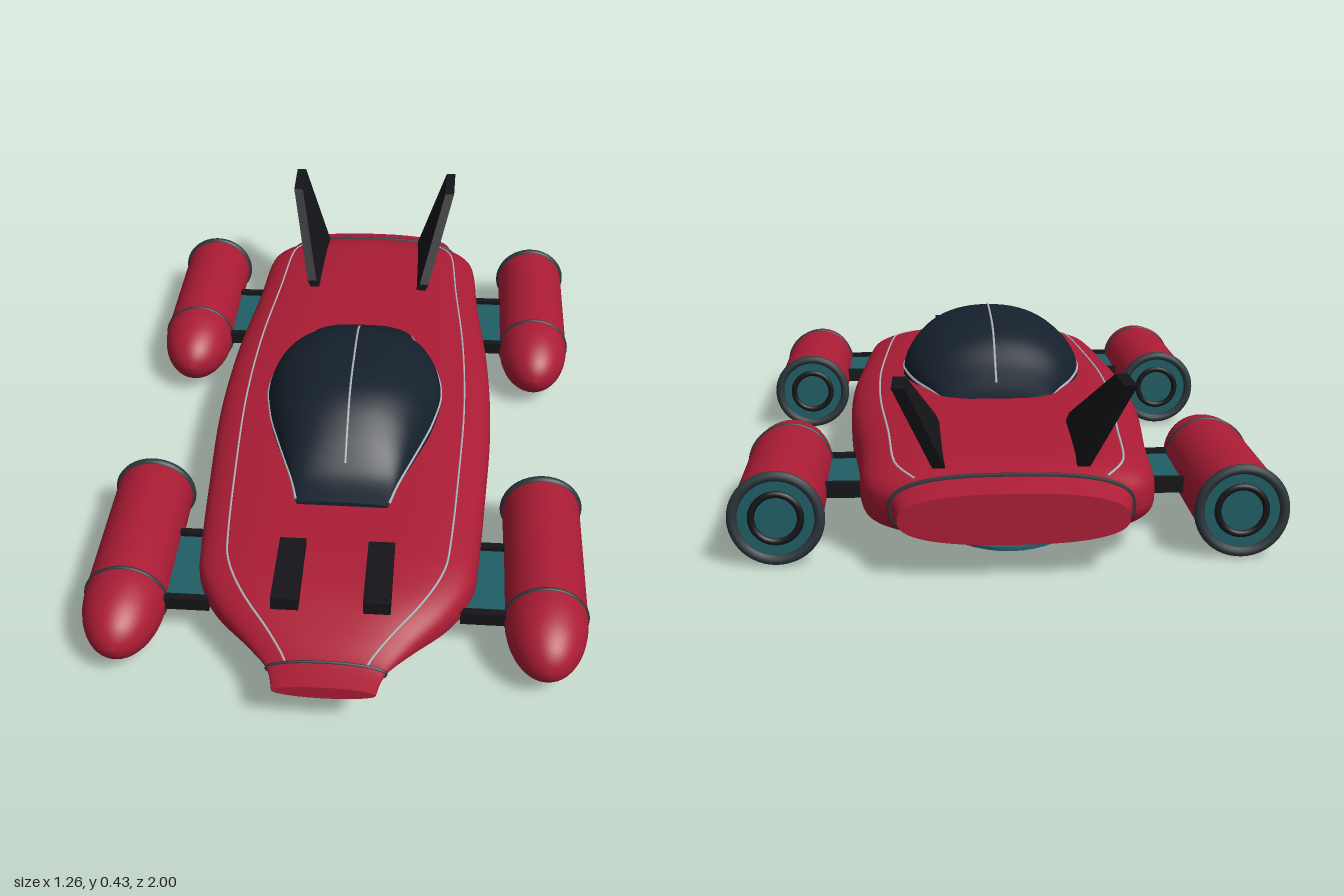
import * as THREE from 'three';

const mat = (color, side = THREE.FrontSide) =>
  new THREE.MeshStandardMaterial({ color, side, roughness: 0.6 });
const RED = mat(0xab1c35), TEAL = mat(0x1f5f66), GLASS = mat(0x16212d);
const BLACK = mat(0x151519), GREY = mat(0x2c373c), SILVER = mat(0xb4b8bc);

function add(parent, name, geometry, material, x = 0, y = 0, z = 0) {
  const mesh = new THREE.Mesh(geometry, material);
  mesh.name = name;
  mesh.position.set(x, y, z);
  parent.add(mesh);
  return mesh;
}

// Stations run front to back: [z, half width, bottom y, top y, squareness]
const HULL = [
  [1.0, 0.12, 0.126, 0.162, 2], [0.93, 0.14, 0.112, 0.17, 2], [0.85, 0.2, 0.085, 0.19, 2.3],
  [0.75, 0.285, 0.058, 0.212, 2.8], [0.65, 0.338, 0.043, 0.223, 3.2], [0.55, 0.353, 0.036, 0.229, 3.4],
  [0.3, 0.37, 0.031, 0.236, 3.5], [0, 0.385, 0.03, 0.242, 3.5], [-0.3, 0.376, 0.031, 0.245, 3.5],
  [-0.6, 0.347, 0.037, 0.243, 3.4], [-0.8, 0.335, 0.046, 0.236, 3.2], [-0.87, 0.315, 0.055, 0.23, 3],
  [-0.93, 0.268, 0.07, 0.215, 2.7], [-1.0, 0.252, 0.08, 0.195, 2.5],
];
const CANOPY = [
  [0.45, 0.118, 0.226, 0.244, 2.4], [0.37, 0.138, 0.205, 0.268, 2.4], [0.28, 0.17, 0.135, 0.336, 2.3],
  [0.2, 0.198, 0.09, 0.382, 2.2], [0.12, 0.222, 0.075, 0.4, 2.2], [0, 0.242, 0.075, 0.396, 2.2],
  [-0.1, 0.232, 0.085, 0.387, 2.2], [-0.18, 0.207, 0.1, 0.363, 2.2], [-0.26, 0.17, 0.16, 0.305, 2.3],
  [-0.33, 0.142, 0.21, 0.262, 2.4], [-0.365, 0.1, 0.225, 0.247, 2.4],
];

// Smooth interpolation through the stations, u from 0 to 1
function station(list, u) {
  const f = Math.min(u * (list.length - 1), list.length - 1);
  const i = Math.min(Math.floor(f), list.length - 2), t = f - i;
  const at = k => list[Math.max(0, Math.min(list.length - 1, k))];
  return list[0].map((_, k) => {
    const p0 = at(i - 1)[k], p1 = at(i)[k], p2 = at(i + 1)[k], p3 = at(i + 2)[k];
    return p1 + 0.5 * t * (p2 - p0 + t * (2 * p0 - 5 * p1 + 4 * p2 - p3 + t * (3 * (p1 - p2) + p3 - p0)));
  });
}

// Point on a rounded-rectangle section
function sectionPoint([z, w, lo, hi, n], a) {
  const bend = v => Math.sign(v) * Math.abs(v) ** (2 / n);
  return new THREE.Vector3(w * bend(Math.cos(a)), (lo + hi) / 2 + (hi - lo) / 2 * bend(Math.sin(a)), z);
}

function loft(list, rows = 64, sides = 64) {
  const pos = [], index = [];
  const ring = u => Array.from({ length: sides }, (_, j) =>
    sectionPoint(station(list, u), j / sides * Math.PI * 2));
  for (let i = 0; i <= rows; i++) ring(i / rows).forEach(p => pos.push(p.x, p.y, p.z));
  for (let i = 0; i < rows; i++) for (let j = 0; j < sides; j++) {
    const a = i * sides + j, b = i * sides + (j + 1) % sides;
    index.push(a, a + sides, b, b, a + sides, b + sides);
  }
  // Flat end caps with their own vertices
  for (const u of [0, 1]) {
    const start = pos.length / 3, [z, , lo, hi] = station(list, u);
    ring(u).forEach(p => pos.push(p.x, p.y, p.z));
    pos.push(0, (lo + hi) / 2, z);
    for (let j = 0; j < sides; j++) {
      const a = start + j, b = start + (j + 1) % sides, c = start + sides;
      index.push(...(u === 0 ? [a, b, c] : [b, a, c]));
    }
  }
  const g = new THREE.BufferGeometry();
  g.setAttribute('position', new THREE.Float32BufferAttribute(pos, 3));
  g.setIndex(index);
  g.computeVertexNormals();
  return g;
}

// Thin line running lengthwise along a lofted surface
function lengthLine(list, angle, u0, u1, radius) {
  const pts = Array.from({ length: 41 }, (_, i) =>
    sectionPoint(station(list, u0 + (u1 - u0) * i / 40), angle));
  return new THREE.TubeGeometry(new THREE.CatmullRomCurve3(pts), 80, radius, 6);
}

// Thin band around one station
function band(list, k, radius) {
  const pts = Array.from({ length: 48 }, (_, j) => sectionPoint(list[k], j / 48 * Math.PI * 2));
  return new THREE.TubeGeometry(new THREE.CatmullRomCurve3(pts, true), 96, radius, 6, true);
}

// Engine pod; local origin is the joint between nose dome and barrel
function pod() {
  const g = new THREE.Group();
  g.name = 'enginePod';
  const profile = [[0.085, -0.41], [0.102, -0.41], [0.102, 0]].map(p => new THREE.Vector2(...p));
  const dome = new THREE.SplineCurve([[0.102, 0], [0.099, 0.05], [0.085, 0.105], [0.06, 0.15], [0.03, 0.175], [0, 0.185]]
    .map(p => new THREE.Vector2(...p)));
  add(g, 'podBarrel', new THREE.LatheGeometry(profile, 40).rotateX(Math.PI / 2), RED);
  add(g, 'podNose', new THREE.LatheGeometry(dome.getPoints(20), 40).rotateX(Math.PI / 2), RED);
  add(g, 'podFrontBand', new THREE.TorusGeometry(0.101, 0.005, 8, 48), GREY);
  add(g, 'podRearRim', new THREE.TorusGeometry(0.097, 0.012, 10, 48), GREY, 0, 0, -0.412);
  add(g, 'nozzleDisc', new THREE.CircleGeometry(0.092, 40).rotateY(Math.PI), TEAL, 0, 0, -0.413);
  add(g, 'nozzleRing', new THREE.TorusGeometry(0.055, 0.008, 8, 40), BLACK, 0, 0, -0.413);
  return g;
}

// Outward-leaning tail fin
function fin() {
  const s = new THREE.Shape([[0.58, 0.225], [0.58, 0.262], [0.87, 0.425], [1.0, 0.43], [0.905, 0.225]]
    .map(p => new THREE.Vector2(...p)));
  const g = new THREE.ExtrudeGeometry(s, { depth: 0.028, bevelEnabled: false }).rotateY(Math.PI / 2);
  const p = g.attributes.position;
  for (let i = 0; i < p.count; i++) p.setX(i, p.getX(i) + 0.15 + (p.getY(i) - 0.235) * 0.42);
  g.computeVertexNormals();
  return g;
}

export function createModel() {
  const model = new THREE.Group();
  model.name = 'hoverCar';

  // Hull with nose and tail bands and the oval belly plate
  add(model, 'hull', loft(HULL, 78), RED);
  add(model, 'noseBand', band(HULL, 1, 0.004), GREY);
  add(model, 'tailBand', band(HULL, 12, 0.006), GREY);
  add(model, 'bellyPlate', new THREE.CylinderGeometry(1, 1, 0.008, 72).scale(0.31, 1, 0.89), TEAL, 0, 0.029, 0);

  // Canopy with centre seam
  add(model, 'canopy', loft(CANOPY, 60), GLASS);
  add(model, 'canopySeam', lengthLine(CANOPY, Math.PI / 2, 0.13, 0.87, 0.003), SILVER);

  // Everything mirrored left and right
  for (const side of [1, -1]) {
    const half = new THREE.Group();
    half.name = side > 0 ? 'leftSide' : 'rightSide';
    half.scale.x = side;
    model.add(half);

    add(half, 'deckTrim', lengthLine(HULL, 0.83, 0.08, 0.9, 0.003), SILVER);
    add(half, 'canopyTrim', lengthLine(CANOPY, 0.1, 0.02, 0.97, 0.004), SILVER);
    add(half, 'hoodScoop', new THREE.BoxGeometry(0.066, 0.035, 0.215), BLACK, 0.11, 0.223, 0.695);
    add(half, 'tailFin', fin(), BLACK);

    // Front and rear pods on their pylons
    for (const z of [0.695, -0.475]) {
      const p = pod();
      p.position.set(0.52, 0.111, z);
      half.add(p);
      add(half, 'pylon', new THREE.BoxGeometry(0.2, 0.022, 0.24), TEAL, 0.36, 0.113, z - 0.11);
      for (const dz of [0.01, -0.23])
        add(half, 'pylonBar', new THREE.BoxGeometry(0.13, 0.036, 0.02), BLACK, 0.375, 0.117, z + dz);
    }
  }
  return model;
}
